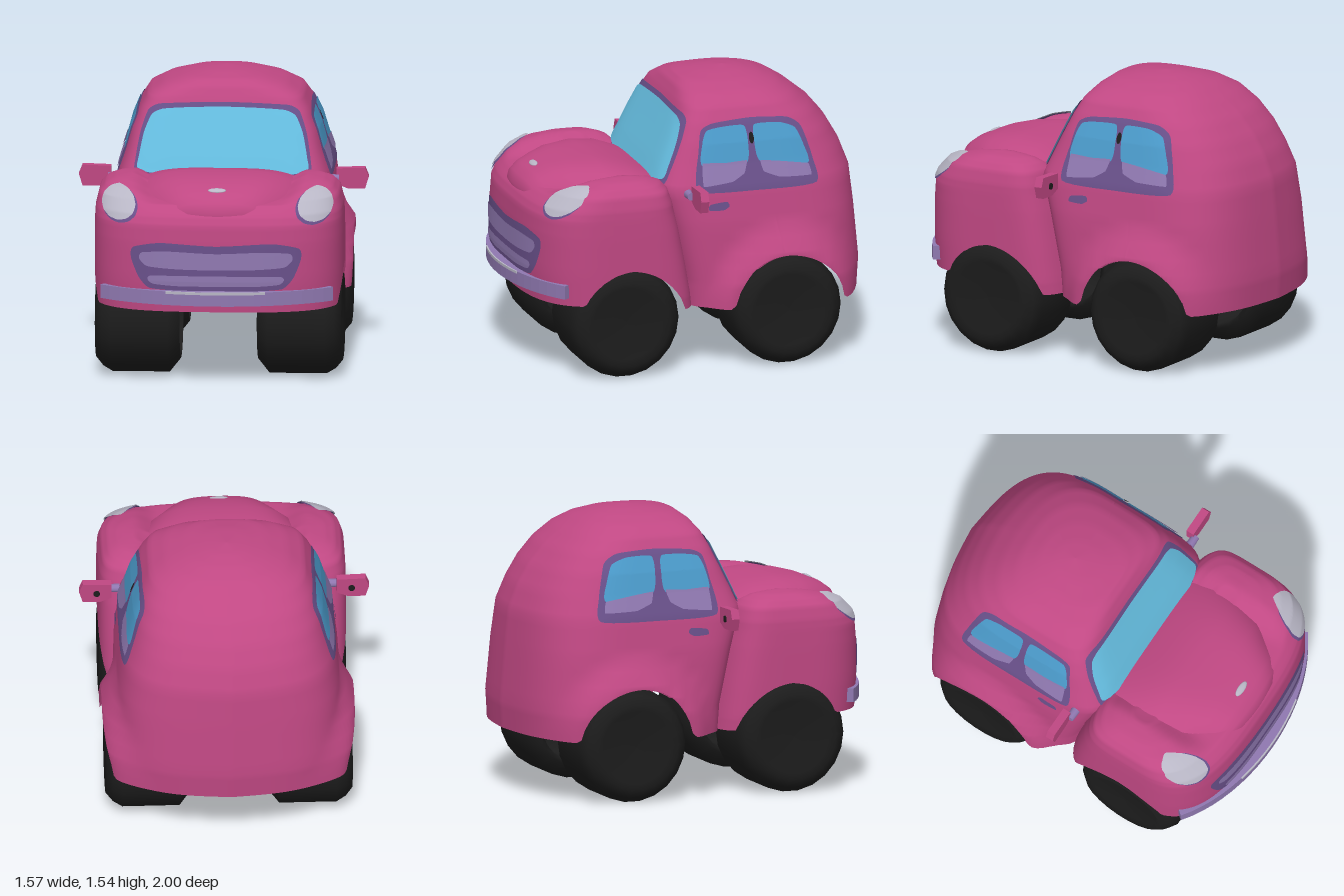
import * as THREE from 'three';

const mat = (name, color) => {
  const m = new THREE.MeshStandardMaterial({ color, side: THREE.DoubleSide });
  m.name = name;
  return m;
};
const { clamp, smoothstep } = THREE.MathUtils;

// Shell profiles, bottom to top: [y, half width, front z, back z, front squareness, back squareness, back peak]
const CABIN = [
  [0.35, 0.61, 0.09, -0.985, 7, 3.5, 0.1], [0.5, 0.615, 0.1, -0.995, 7, 3.5, 0.1], [0.8, 0.605, 0.17, -0.97, 7, 3.5, 0.1],
  [1.0, 0.578, 0.235, -0.95, 7, 3.5, 0.1], [1.13, 0.535, 0.18, -0.9, 7, 3.4, 0.1], [1.24, 0.505, 0.13, -0.835, 7, 3.3, 0.1],
  [1.34, 0.465, 0.085, -0.75, 7, 3.1, 0.08], [1.42, 0.42, 0.05, -0.65, 6, 2.8, 0.05], [1.475, 0.33, 0.02, -0.56, 4, 2.5, 0],
  [1.51, 0.22, -0.02, -0.47, 3, 2.3, 0], [1.53, 0.11, -0.13, -0.38, 2.3, 2.2, 0], [1.54, 0, -0.28, -0.28, 2, 2, 0],
];
const NOSE = [
  [0.36, 0.66, 0.925, 0.04, 3, 6, 0], [0.43, 0.67, 0.935, 0.05, 3, 6, 0], [0.6, 0.672, 0.945, 0.08, 3, 6, 0],
  [0.8, 0.672, 0.94, 0.12, 3, 6, 0], [0.9, 0.67, 0.93, 0.145, 3, 6, 0], [0.95, 0.667, 0.905, 0.155, 3, 6, 0],
  [1.02, 0.65, 0.83, 0.18, 3.2, 6, 0], [1.06, 0.615, 0.75, 0.21, 3.3, 5, 0], [1.085, 0.56, 0.65, 0.26, 3, 4, 0],
  [1.1, 0.45, 0.55, 0.33, 2.5, 3, 0], [1.105, 0, 0.44, 0.44, 2, 2, 0],
];

// Plan section of a shell at height y
function section(profile, y) {
  let i = 0;
  while (i < profile.length - 2 && profile[i + 1][0] < y) i++;
  const a = profile[i], b = profile[i + 1];
  const t = clamp((y - a[0]) / (b[0] - a[0]), 0, 1);
  const [, w, f, k, nf, nb, peak] = a.map((v, j) => v + (b[j] - v) * t);
  return { w, cz: (f + k) / 2, hz: (f - k) / 2, nf, nb, peak };
}

function planPoint(profile, y, angle) {
  const { w, cz, hz, nf, nb, peak } = section(profile, y);
  const c = Math.cos(angle), s = Math.sin(angle), n = s > 0 ? nf : nb;
  const r = (Math.abs(c) ** n + Math.abs(s) ** n) ** (-1 / n);
  return [w * r * c, cz + hz * r * s * (s > 0 ? 1 : 1 - peak * Math.abs(r * c))];
}

// Surface lookups used to lay painted plates on the shells
const root = (v, n) => Math.max(0, 1 - Math.abs(v) ** n) ** (1 / n);
const sideX = (profile, y, z) => {
  const { w, cz, hz, nf, nb, peak } = section(profile, y);
  return z > cz ? w * root((z - cz) / hz, nf) : w * root((z - cz) / (hz * (1 - 0.95 * peak)), nb);
};
const frontZ = (profile, y, x) => {
  const { w, cz, hz, nf } = section(profile, y);
  return cz + hz * root(x / w, nf);
};

const arch = (z, zc, r, base) => Math.max(base, 0.31 + Math.sqrt(Math.max(0, r * r - (z - zc) ** 2)));

// Quad strip surface from rows of points
function gridGeometry(rows, skip = () => false) {
  const pos = rows.flat(2), idx = [], n = rows[0].length;
  for (let i = 0; i < rows.length - 1; i++) for (let j = 0; j < n - 1; j++) {
    if (skip(...rows[i][j])) continue;
    const a = i * n + j, b = a + 1, c = a + n, d = c + 1;
    idx.push(a, c, b, b, c, d);
  }
  const g = new THREE.BufferGeometry();
  g.setAttribute('position', new THREE.Float32BufferAttribute(pos, 3));
  g.setIndex(idx);
  g.computeVertexNormals();
  return g;
}

// Stacked plan rings with wheel arches cut into the lower edge
function shell(profile, bottom, shape, skip) {
  const rows = [], N = 160, SUB = 4;
  for (let k = 0; k <= (profile.length - 1) * SUB; k++) {
    const i = Math.min(Math.floor(k / SUB), profile.length - 2), t = k / SUB - i;
    const y0 = profile[i][0] + (profile[i + 1][0] - profile[i][0]) * t;
    const row = [];
    for (let j = 0; j <= N; j++) {
      const ang = (j / N) * Math.PI * 2;
      const y = Math.max(y0, bottom(planPoint(profile, y0, ang)[1]));
      const [x, z] = planPoint(profile, y, ang);
      row.push(shape(x, y, z));
    }
    rows.push(row);
  }
  return gridGeometry(rows, skip);
}

// Thin plate: a smooth closed outline filled by rings, each point projected on a surface
function plate(outline, project, tension = 0.3) {
  const curve = new THREE.CatmullRomCurve3(outline.map(([a, b]) => new THREE.Vector3(a, b, 0)), true, 'catmullrom', tension);
  const pts = curve.getPoints(64);
  const ca = outline.reduce((s, p) => s + p[0], 0) / outline.length;
  const cb = outline.reduce((s, p) => s + p[1], 0) / outline.length;
  const rows = [];
  for (let k = 0; k <= 10; k++) {
    rows.push(pts.map(p => project(ca + (p.x - ca) * k / 10, cb + (p.y - cb) * k / 10)));
  }
  return gridGeometry(rows);
}

const mirrorOutline = half => [...half, ...half.filter(p => p[0] !== 0).reverse().map(([x, y]) => [-x, y])];
const ellipse = (cx, cy, rx, ry) => Array.from({ length: 12 }, (_, i) =>
  [cx + rx * Math.cos(i * Math.PI / 6), cy + ry * Math.sin(i * Math.PI / 6)]);

export function createModel() {
  const car = new THREE.Group();
  car.name = 'car';
  const paint = mat('pink paint', 0xc04883), trim = mat('dark purple trim', 0x69508a);
  const lilac = mat('lilac', 0x8f78b0), glass = mat('light blue glass', 0x66bfe2), sideGlass = mat('blue side glass', 0x4b9bcb);
  const rubber = mat('black rubber', 0x1c1c1c), lamp = mat('pale grey', 0xb9b7c6);
  const add = (name, geo, m) => {
    const mesh = new THREE.Mesh(geo, m);
    mesh.name = name;
    car.add(mesh);
    return mesh;
  };

  // Body shells, open below: rear fenders flare out, the nose dips under the hood
  const flared = (x, y, z) => [x * (1 + 0.12 * (1 - smoothstep(Math.hypot(z + 0.46, y - 0.31), 0.34, 0.48))), y, z];
  const dipped = (x, y, z) => [x, y - 0.07 * clamp((y - 1) / 0.08, 0, 1) * (1 - smoothstep(Math.abs(x), 0.32, 0.48)), z];
  add('cabin', shell(CABIN, z => arch(z, -0.46, 0.319, 0.35), flared,
    (x, y, z) => y < 0.97 && z > 0 && Math.abs(x) < 0.5), paint);
  add('frontBody', shell(NOSE, z => arch(z, 0.42, 0.3, z > 0.4 ? 0.43 : 0.36), dipped,
    (x, y, z) => y < 1.0 && z < 0.35 && Math.abs(x) < 0.5), paint);

  // Hood: [z, half width, crown y, edge y]
  const hood = [[0.2, 0.49, 1.04, 0.98], [0.35, 0.46, 1.1, 1.03], [0.5, 0.43, 1.122, 1.03], [0.65, 0.39, 1.11, 1.01],
    [0.75, 0.35, 1.087, 0.98], [0.83, 0.31, 1.055, 0.95], [0.88, 0.27, 1.02, 0.93], [0.905, 0.23, 0.97, 0.92], [0.9, 0.2, 0.925, 0.915]];
  add('hood', gridGeometry(hood.map(([z, w, top, edge]) => Array.from({ length: 33 }, (_, i) => {
    const s = i / 16 - 1;
    return [w * s, edge + (top - edge) * (1 - Math.abs(s) ** 4), z - 0.03 * s * s * (z > 0.7 ? 1 : 0)];
  }))), paint);
  const latch = add('hoodLatch', new THREE.SphereGeometry(1, 16, 8), lamp);
  latch.scale.set(0.05, 0.008, 0.02);
  latch.position.set(0, 1.072, 0.79);
  latch.rotation.x = 0.4;

  // Windshield
  const onCabinFront = off => (x, y) => [x, y + off * 0.4, frontZ(CABIN, y, x) + off];
  add('windshieldFrame', plate(mirrorOutline([[0, 1.0], [0.25, 1.0], [0.47, 1.02], [0.475, 1.1], [0.45, 1.24], [0.41, 1.35],
    [0.35, 1.385], [0.2, 1.395], [0, 1.4]]), onCabinFront(0.006)), trim);
  add('windshield', plate(mirrorOutline([[0, 1.02], [0.25, 1.02], [0.455, 1.05], [0.455, 1.12], [0.43, 1.24], [0.39, 1.33],
    [0.33, 1.36], [0.2, 1.37], [0, 1.375]]), onCabinFront(0.011)), glass);

  // Grille
  const onNose = off => (x, y) => [x, y, frontZ(NOSE, y, x) + off];
  add('grilleFrame', plate(mirrorOutline([[0, 0.55], [0.2, 0.55], [0.36, 0.56], [0.42, 0.62], [0.46, 0.72], [0.45, 0.78],
    [0.3, 0.81], [0, 0.795]]), onNose(0.005)), trim);
  add('grilleUpperBar', plate(mirrorOutline([[0, 0.665], [0.2, 0.668], [0.37, 0.68], [0.415, 0.72], [0.4, 0.755],
    [0.25, 0.765], [0, 0.755]]), onNose(0.01)), lilac);
  add('grilleLowerBar', plate(mirrorOutline([[0, 0.575], [0.2, 0.575], [0.34, 0.585], [0.37, 0.61], [0.35, 0.63],
    [0.2, 0.632], [0, 0.632]]), onNose(0.01)), lilac);

  // Bumper with a thin bright strip along its upper front edge
  const plan = new THREE.Shape();
  plan.moveTo(-0.63, 0.81);
  plan.bezierCurveTo(-0.3, 1.06, 0.3, 1.06, 0.63, 0.81);
  plan.lineTo(0.595, 0.765);
  plan.bezierCurveTo(0.3, 0.99, -0.3, 0.99, -0.595, 0.765);
  add('bumper', new THREE.ExtrudeGeometry(plan, { depth: 0.075, bevelEnabled: false, curveSegments: 20 })
    .rotateX(Math.PI / 2).translate(0, 0.55, 0), lilac);
  const strip = new THREE.Shape();
  strip.moveTo(-0.27, 0.973);
  strip.quadraticCurveTo(0, 1.031, 0.27, 0.973);
  strip.lineTo(0.27, 0.965);
  strip.quadraticCurveTo(0, 1.023, -0.27, 0.965);
  add('bumperStrip', new THREE.ExtrudeGeometry(strip, { depth: 0.014, bevelEnabled: false })
    .rotateX(Math.PI / 2).translate(0, 0.552, 0), lamp);

  // Wheel with a hollow inner side
  const wheel = new THREE.LatheGeometry([[0, 0.64], [0.2, 0.65], [0.235, 0.667], [0.28, 0.63], [0.31, 0.58], [0.31, 0.27],
    [0.235, 0.21], [0.21, 0.21], [0.2, 0.5], [0, 0.5]].map(p => new THREE.Vector2(...p)), 22).rotateZ(-Math.PI / 2);

  const mirrorShape = new THREE.Shape([[0.61, 1.045], [0.765, 1.05], [0.785, 1.0], [0.765, 0.935], [0.67, 0.935], [0.61, 0.96]]
    .map(p => new THREE.Vector2(...p)));

  for (const s of [1, -1]) {
    const side = s > 0 ? 'left' : 'right';
    const onSide = off => (z, y) => [s * (sideX(CABIN, y, z) + off), y, z];

    // Side windows with lilac lower bands
    add(side + 'WindowFrame', plate([[0.035, 1.0], [0.015, 1.2], [-0.01, 1.31], [-0.08, 1.345], [-0.3, 1.36], [-0.5, 1.345],
      [-0.58, 1.29], [-0.63, 1.12], [-0.635, 0.995], [-0.3, 0.985]], onSide(0.005)), trim);
    add(side + 'FrontPane', plate([[0.0, 1.13], [-0.01, 1.25], [-0.04, 1.31], [-0.12, 1.325], [-0.25, 1.325], [-0.265, 1.24],
      [-0.245, 1.13]], onSide(0.01)), sideGlass);
    add(side + 'RearPane', plate([[-0.33, 1.13], [-0.3, 1.24], [-0.31, 1.325], [-0.45, 1.325], [-0.54, 1.29], [-0.58, 1.2],
      [-0.595, 1.1]], onSide(0.01)), sideGlass);
    add(side + 'FrontPaneBand', plate([[0.005, 1.025], [0, 1.145], [-0.13, 1.14], [-0.25, 1.145], [-0.23, 1.08], [-0.16, 1.04]],
      onSide(0.013), 0.1), lilac);
    add(side + 'RearPaneBand', plate([[-0.34, 1.08], [-0.325, 1.14], [-0.45, 1.125], [-0.597, 1.1], [-0.61, 1.04], [-0.43, 1.045]],
      onSide(0.013), 0.1), lilac);
    add(side + 'DoorHandle', plate([[-0.02, 0.895], [-0.03, 0.925], [-0.12, 0.935], [-0.135, 0.91], [-0.1, 0.89]], onSide(0.006)), trim);

    // Headlight
    const onFender = off => (x, y) => [s * (x + off * 0.5), y + off, frontZ(NOSE, y, x) + off];
    add(side + 'HeadlightRim', plate(ellipse(0.522, 0.982, 0.098, 0.083), onFender(0.005)), trim);
    add(side + 'Headlight', plate(ellipse(0.529, 0.99, 0.094, 0.079), onFender(0.009)), lamp);

    // Door mirror
    const geo = new THREE.ExtrudeGeometry(mirrorShape, { depth: 0.045, bevelEnabled: false });
    add(side + 'Mirror', geo, paint).position.z = 0.04;
    const pivot = add(side + 'MirrorPivot', new THREE.CylinderGeometry(0.018, 0.018, 0.008, 12).rotateX(Math.PI / 2), rubber);
    pivot.position.set(0.69, 0.99, 0.038);
    const arm = add(side + 'MirrorArm', new THREE.CylinderGeometry(0.022, 0.025, 0.06, 10).rotateZ(-Math.PI / 2), lilac);
    arm.position.set(0.595, 0.99, 0.09);
    if (s < 0) {
      car.children.slice(-3).forEach(m => {
        m.geometry.rotateY(Math.PI).scale(1, 1, -1);
        m.position.x *= -1;
      });
    }

    // Wheels
    for (const [end, z] of [['Front', 0.46], ['Rear', -0.46]]) {
      const w = add(side + end + 'Wheel', wheel, rubber);
      w.position.set(0, 0.31, z);
      w.rotation.y = s > 0 ? 0 : Math.PI;
    }
  }
  // Dark window catch on the left pillar
  add('windowCatch', plate(ellipse(-0.285, 1.26, 0.014, 0.03), (z, y) => [sideX(CABIN, y, z) + 0.014, y, z]), rubber);
  return car;
}
